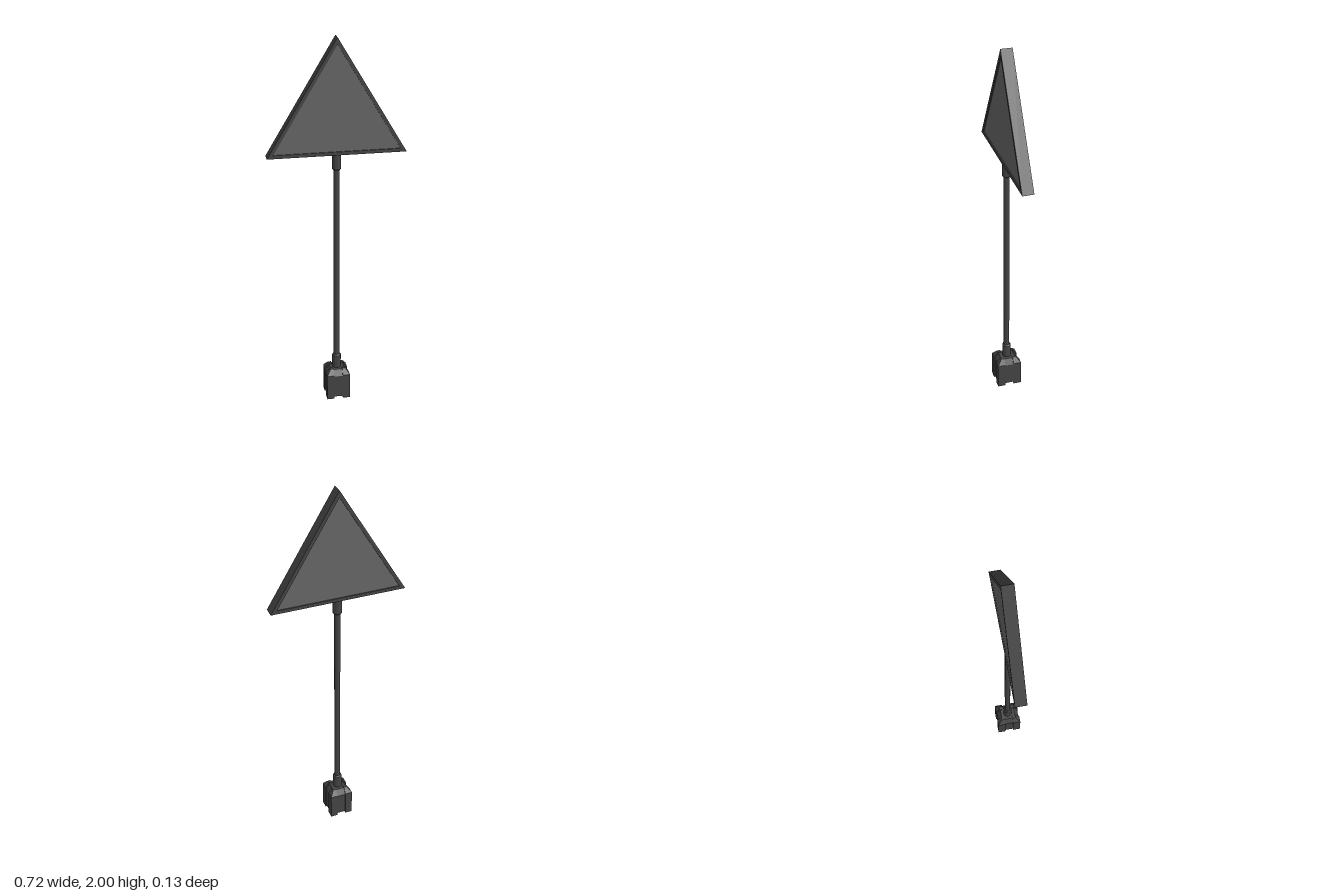
import * as THREE from 'three';

const dark = new THREE.MeshStandardMaterial({ color: 0x444444 });
const darkFlat = new THREE.MeshStandardMaterial({ color: 0x444444, flatShading: true });
const panelGrey = new THREE.MeshStandardMaterial({ color: 0x666666 });

function add(parent, name, geometry, material, x = 0, y = 0, z = 0) {
  const mesh = new THREE.Mesh(geometry, material);
  mesh.name = name;
  mesh.position.set(x, y, z);
  parent.add(mesh);
  return mesh;
}

// Upright triangle, inset evenly from the sign's outline
function triangle(inset, Type = THREE.Shape) {
  const halfWidth = 0.358 - 1.77 * inset, bottom = 1.405 + inset, top = 2 - 1.94 * inset;
  return new Type([
    new THREE.Vector2(-halfWidth, bottom),
    new THREE.Vector2(halfWidth, bottom),
    new THREE.Vector2(0, top),
  ]);
}

function extrude(shape, depth) {
  return new THREE.ExtrudeGeometry(shape, { depth, bevelEnabled: false }).translate(0, 0, -depth / 2);
}

// Block from y0 to y1 whose outer top edges slope inward above yBend
function slopedBlock(x0, x1, z0, z1, y0, yBend, y1, topX, topZ) {
  const geometry = new THREE.BoxGeometry(1, 1, 1, 1, 2, 1);
  const p = geometry.attributes.position;
  for (let i = 0; i < p.count; i++) {
    const level = p.getY(i);
    let x = p.getX(i) < 0 ? x0 : x1;
    let z = p.getZ(i) < 0 ? z0 : z1;
    if (level > 0.1) {
      x = THREE.MathUtils.clamp(x, -topX, topX);
      z = THREE.MathUtils.clamp(z, -topZ, topZ);
    }
    p.setXYZ(i, x, level < -0.1 ? y0 : level > 0.1 ? y1 : yBend, z);
  }
  geometry.computeVertexNormals();
  return geometry;
}

// Collar with narrowed ends
function collar(y0, y1) {
  const r = 0.024, c = 0.006;
  const profile = [[0, y0], [r - c, y0], [r, y0 + c], [r, y1 - c], [r - c, y1], [0, y1]];
  return new THREE.LatheGeometry(profile.map(([x, y]) => new THREE.Vector2(x, y)), 12);
}

export function createModel() {
  const model = new THREE.Group();
  model.name = 'triangularSign';

  // Foot: recessed core between four corner blocks
  const foot = new THREE.Group();
  foot.name = 'foot';
  model.add(foot);
  add(foot, 'footCore', slopedBlock(-0.058, 0.058, -0.062, 0.062, 0.01, 0.138, 0.17, 0.038, 0.04), darkFlat);
  for (const sx of [-1, 1]) {
    for (const sz of [-1, 1]) {
      const xs = [sx * 0.024, sx * 0.063].sort((a, b) => a - b);
      const zs = [sz * 0.024, sz * 0.067].sort((a, b) => a - b);
      add(foot, 'footCorner', slopedBlock(...xs, ...zs, 0, 0.145, 0.175, 0.041, 0.043), darkFlat);
    }
  }

  // Pole and its two collars
  add(model, 'pole', new THREE.CylinderGeometry(0.016, 0.016, 1.24, 12), dark, 0, 0.78, 0);
  add(model, 'lowerCollar', collar(0.165, 0.25), darkFlat);
  add(model, 'upperCollar', collar(1.32, 1.412), darkFlat);

  // Sign: raised rim around a recessed panel
  const rim = triangle(0);
  rim.holes.push(triangle(0.018, THREE.Path));
  add(model, 'signFrame', extrude(rim, 0.06), dark);
  add(model, 'signPanel', extrude(triangle(0.016), 0.048), panelGrey);

  return model;
}
